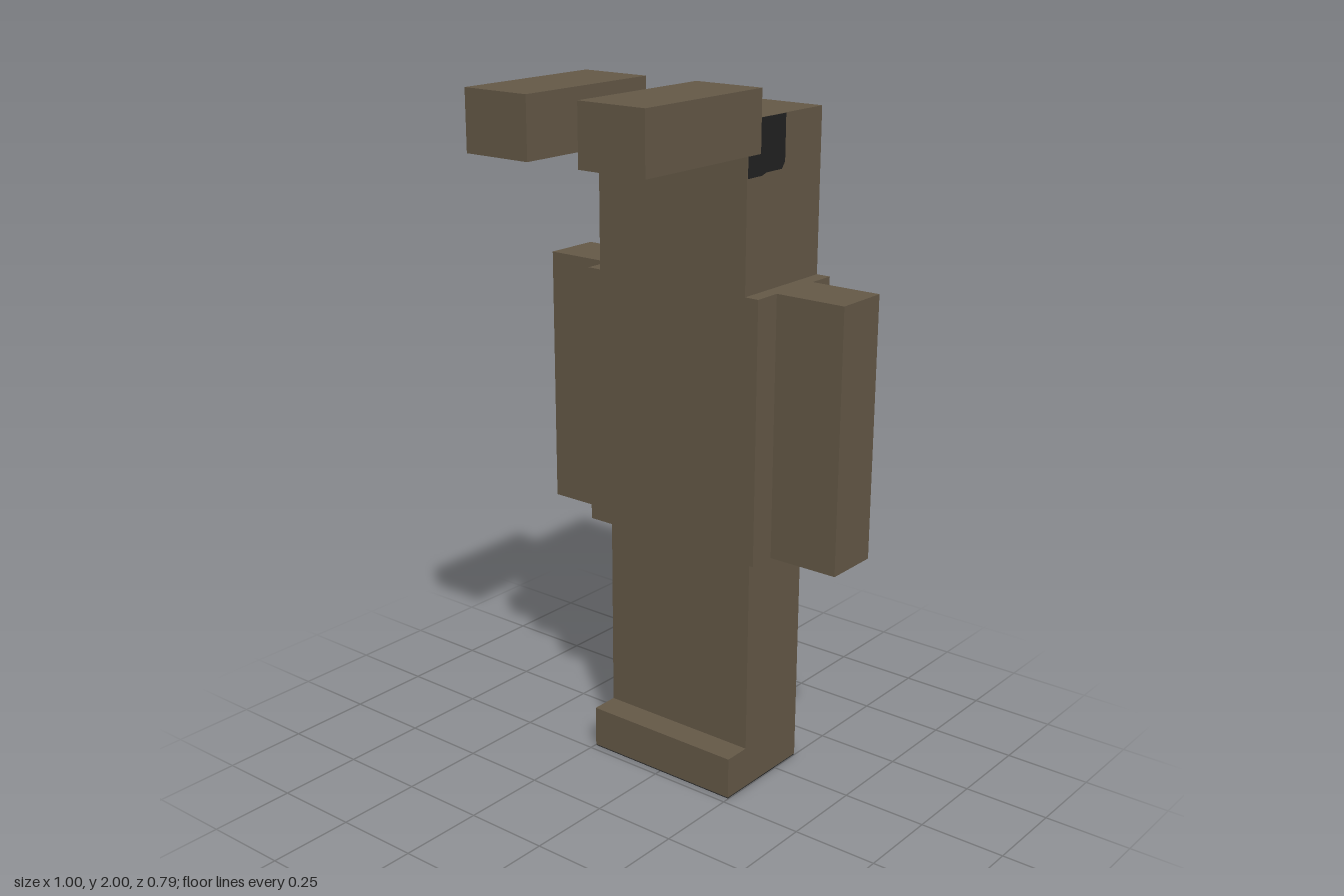
import * as THREE from 'three';

export function createModel() {
  const model = new THREE.Group();
  const brown = new THREE.MeshStandardMaterial({ color: 0x665a48 });
  brown.name = 'brown';
  const black = new THREE.MeshStandardMaterial({ color: 0x222222, side: THREE.DoubleSide });
  black.name = 'black';

  // Box given by its lower and upper limits on each axis
  function block(name, [x0, x1], [y0, y1], [z0, z1]) {
    const mesh = new THREE.Mesh(new THREE.BoxGeometry(x1 - x0, y1 - y0, z1 - z0), brown);
    mesh.position.set((x0 + x1) / 2, (y0 + y1) / 2, (z0 + z1) / 2);
    mesh.name = name;
    model.add(mesh);
  }

  // Body, stacked from the head down
  block('head', [-0.248, 0.248], [1.46, 1.917], [-0.394, -0.063]);
  block('torso', [-0.29, 0.29], [0.713, 1.46], [-0.394, -0.063]);
  block('legs', [-0.248, 0.248], [0.003, 0.713], [-0.352, -0.104]);
  block('feet', [-0.248, 0.248], [0.003, 0.125], [-0.104, -0.022]);

  // Arms and the bars reaching forward from the brow
  for (const [side, s] of [['left', 1], ['right', -1]]) {
    const span = (a, b) => (s > 0 ? [a, b] : [-b, -a]);
    block(side + 'Arm', span(0.29, 0.5), [0.713, 1.46], [-0.312, -0.146]);
    block(side + 'Bar', span(0.083, 0.29), [1.836, 2], [-0.063, 0.394]);
  }

  // Dark patch in an upper corner of each head side: front on the left, back on the right
  const patch = new THREE.Shape();
  patch.moveTo(0, 0);
  patch.lineTo(0.162, 0);
  patch.lineTo(0.162, -0.125);
  patch.lineTo(0.148, -0.143);
  patch.lineTo(0.08, -0.143);
  patch.lineTo(0.06, -0.149);
  patch.lineTo(0, -0.149);
  const patchGeometry = new THREE.ShapeGeometry(patch);
  for (const [name, s, z] of [['leftPatch', 1, -0.063], ['rightPatch', -1, -0.394]]) {
    const mesh = new THREE.Mesh(patchGeometry, black);
    mesh.rotation.y = s * Math.PI / 2;
    mesh.position.set(s * 0.251, 1.917, z);
    mesh.name = name;
    model.add(mesh);
  }

  // Black sole with two rounded openings that show the brown underside
  const sole = new THREE.Shape();
  sole.moveTo(-0.248, -0.352);
  sole.lineTo(0.248, -0.352);
  sole.lineTo(0.248, -0.022);
  sole.lineTo(-0.248, -0.022);
  for (const x of [-0.105, 0.105]) {
    const hole = new THREE.Path();
    hole.absellipse(x, -0.186, 0.085, 0.104, 0, Math.PI * 2, true);
    sole.holes.push(hole);
  }
  const soleMesh = new THREE.Mesh(new THREE.ShapeGeometry(sole, 8).rotateX(Math.PI / 2), black);
  soleMesh.name = 'sole';
  model.add(soleMesh);

  return model;
}
